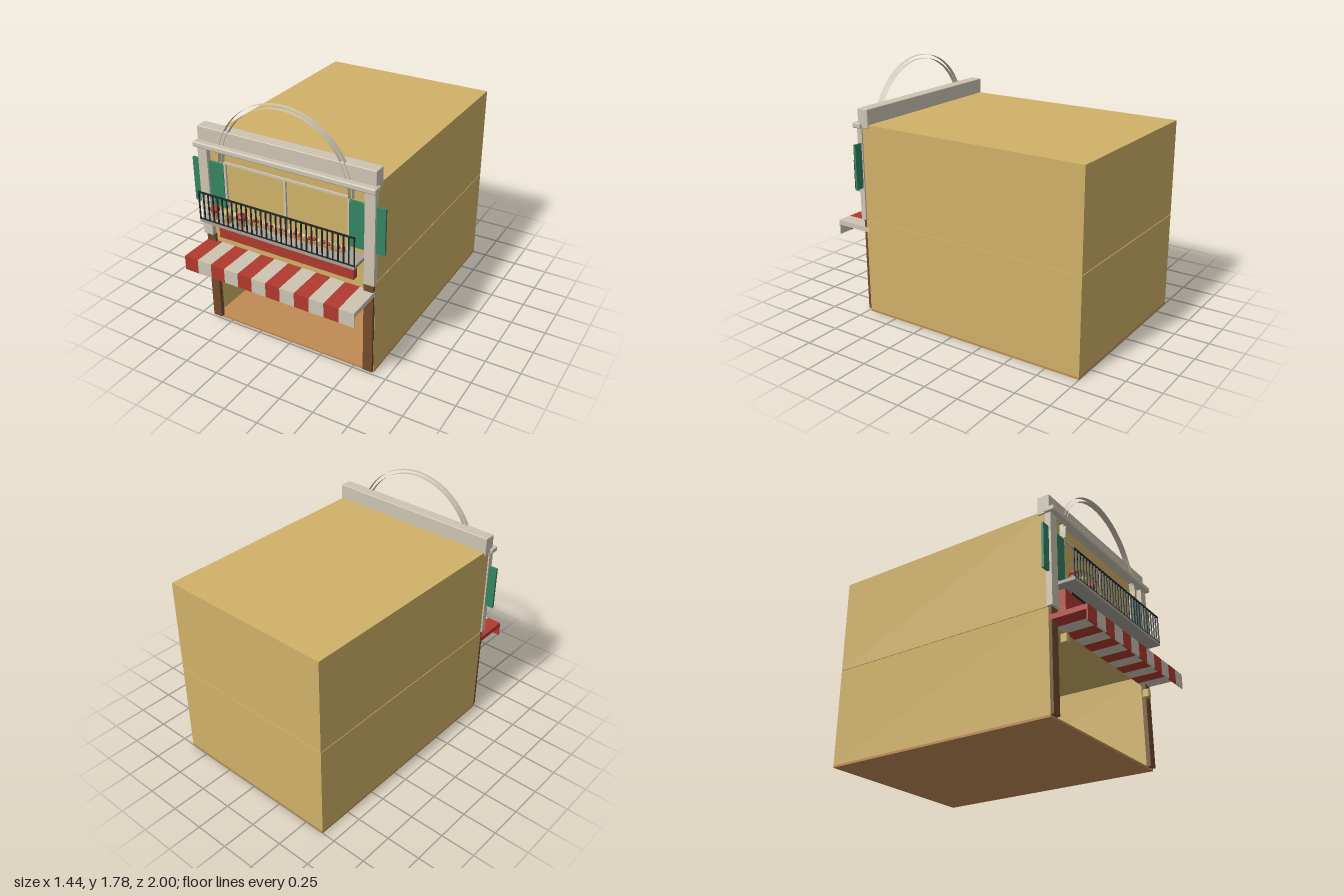
import * as THREE from 'three';
import { RoundedBoxGeometry } from 'three/addons/geometries/RoundedBoxGeometry.js';

function mat(name, color, side = THREE.FrontSide) {
  const m = new THREE.MeshStandardMaterial({ color, side });
  m.name = name;
  return m;
}

export function createModel() {
  const root = new THREE.Group();
  root.name = 'shopHouse';
  const tan = mat('tan plaster', 0xcfb168);
  const cream = mat('cream stone', 0xcdc4b2, THREE.DoubleSide);
  const red = mat('red paint', 0xb03a2e);
  const green = mat('green paint', 0x358463);
  const brown = mat('dark wood', 0x744a2b);
  const wood = mat('light wood', 0xbf8a54);
  const grey = mat('grey stone', 0xa8a298);
  const iron = mat('black iron', 0x232826);

  function add(name, geometry, material, x = 0, y = 0, z = 0, parent = root) {
    const mesh = new THREE.Mesh(geometry, material);
    mesh.name = name;
    mesh.position.set(x, y, z);
    parent.add(mesh);
    return mesh;
  }
  // Box given by its extents; r rounds the edges
  function box(name, material, [x0, x1], [y0, y1], [z0, z1], parent = root, r = 0) {
    const s = [x1 - x0, y1 - y0, z1 - z0];
    const g = r ? new RoundedBoxGeometry(...s, 2, r) : new THREE.BoxGeometry(...s);
    return add(name, g, material, (x0 + x1) / 2, (y0 + y1) / 2, (z0 + z1) / 2, parent);
  }
  // The same box on both sides of x = 0
  function pair(name, material, [x0, x1], y, z, r = 0) {
    box(name + 'Left', material, [x0, x1], y, z, root, r);
    box(name + 'Right', material, [-x1, -x0], y, z, root, r);
  }
  function group(name) {
    const g = new THREE.Group();
    g.name = name;
    root.add(g);
    return g;
  }

  // Ground floor, open at the front
  box('floorSlab', wood, [-0.65, 0.65], [0, 0.015], [-1, 0.73]);
  pair('sideWall', tan, [0.63, 0.65], [0.015, 0.705], [-1, 0.73]);
  box('backWall', tan, [-0.63, 0.63], [0.015, 0.705], [-1, -0.98]);
  box('backPanel', wood, [-0.63, 0.63], [0.015, 0.23], [-0.98, -0.96]);
  box('lintel', tan, [-0.63, 0.63], [0.62, 0.705], [0.71, 0.73]);
  pair('frontPost', brown, [0.58, 0.648], [0.017, 0.708], [0.72, 0.752]);

  // Upper floor
  box('floorJoint', tan, [-0.645, 0.645], [0.7, 0.712], [-0.995, 0.725]);
  box('upperFloor', tan, [-0.65, 0.65], [0.71, 1.4], [-1, 0.73]);
  pair('pilaster', cream, [0.587, 0.66], [0.71, 1.375], [0.725, 0.766]);
  box('cornice', cream, [-0.675, 0.675], [1.37, 1.41], [0.725, 0.798], root, 0.01);
  box('parapet', cream, [-0.66, 0.66], [1.375, 1.51], [0.668, 0.756], root, 0.006);

  // Window frame and shutters
  const frame = group('windowFrame');
  for (const x of [-0.465, 0, 0.465])
    box('frameUpright', cream, [x - 0.008, x + 0.008], [0.9, 1.285], [0.73, 0.745], frame);
  for (const y of [0.9, 1.27])
    box('frameRail', cream, [-0.473, 0.473], [y, y + 0.015], [0.73, 0.744], frame);
  pair('shutter', green, [0.473, 0.722], [0.945, 1.267], [0.733, 0.75]);

  // Thin arch made of two open bands
  const arch = group('arch');
  for (const r of [0.5, 0.472]) {
    const band = new THREE.CylinderGeometry(r, r, 0.03, 48, 1, true, Math.PI / 2, Math.PI);
    band.rotateX(Math.PI / 2);
    add('archBand', band, cream, 0, 1.28, 0.746, arch);
  }

  // Balcony with red panel below and railing in front
  box('redPanel', red, [-0.52, 0.52], [0.72, 0.876], [0.73, 0.775]);
  box('balconySlab', grey, [-0.585, 0.585], [0.877, 0.9], [0.73, 0.885]);
  box('slabTrim', iron, [-0.455, 0.455], [0.867, 0.877], [0.76, 0.785]);
  const railing = group('railing');
  box('topRail', iron, [-0.588, 0.588], [1.096, 1.106], [0.876, 0.886], railing);
  box('bottomRail', iron, [-0.588, 0.588], [0.899, 0.906], [0.877, 0.885], railing);
  const bars = 32;
  for (let i = 0; i < bars; i++) {
    const x = -0.583 + (1.166 * i) / (bars - 1);
    box('bar', iron, [x - 0.004, x + 0.004], [0.9, 1.1], [0.877, 0.885], railing);
  }

  // Potted plants on the balcony
  const plants = group('pottedPlants');
  [[-0.5, red], [-0.392, tan], [-0.285, red]].forEach(([x, bloom]) => {
    add('pot', new THREE.CylinderGeometry(0.026, 0.021, 0.055, 16), wood, x, 0.9275, 0.83, plants);
    add('bloom', new THREE.SphereGeometry(0.033, 16, 12), bloom, x, 0.97, 0.83, plants).scale.y = 0.8;
  });

  // Row of flowers in a planter against the wall
  const planter = group('flowerPlanter');
  box('planterBox', wood, [-0.455, 0.455], [0.9, 0.922], [0.764, 0.788], planter);
  for (let i = 0; i < 26; i++) {
    const x = -0.45 + i * 0.036;
    add('flower', new THREE.SphereGeometry(0.013, 8, 6), i % 3 === 2 ? cream : red,
      x, 0.929 + (i % 2) * 0.005, 0.776, planter);
  }

  // Striped awning with a hanging valance
  const awning = group('awning');
  const stripes = 12, w = 1.3 / stripes;
  for (let i = 0; i < stripes; i++) {
    const x = [-0.65 + i * w, -0.65 + (i + 1) * w];
    const m = i % 2 ? cream : red;
    box('awningStripe', m, x, [0.615, 0.65], [0.715, 1], awning);
    box('valanceStripe', m, x, [0.545, 0.615], [0.99, 1], awning);
  }

  // Small wall lamps under the awning
  pair('lamp', tan, [0.52, 0.562], [0.49, 0.552], [0.752, 0.8], 0.008);

  return root;
}
